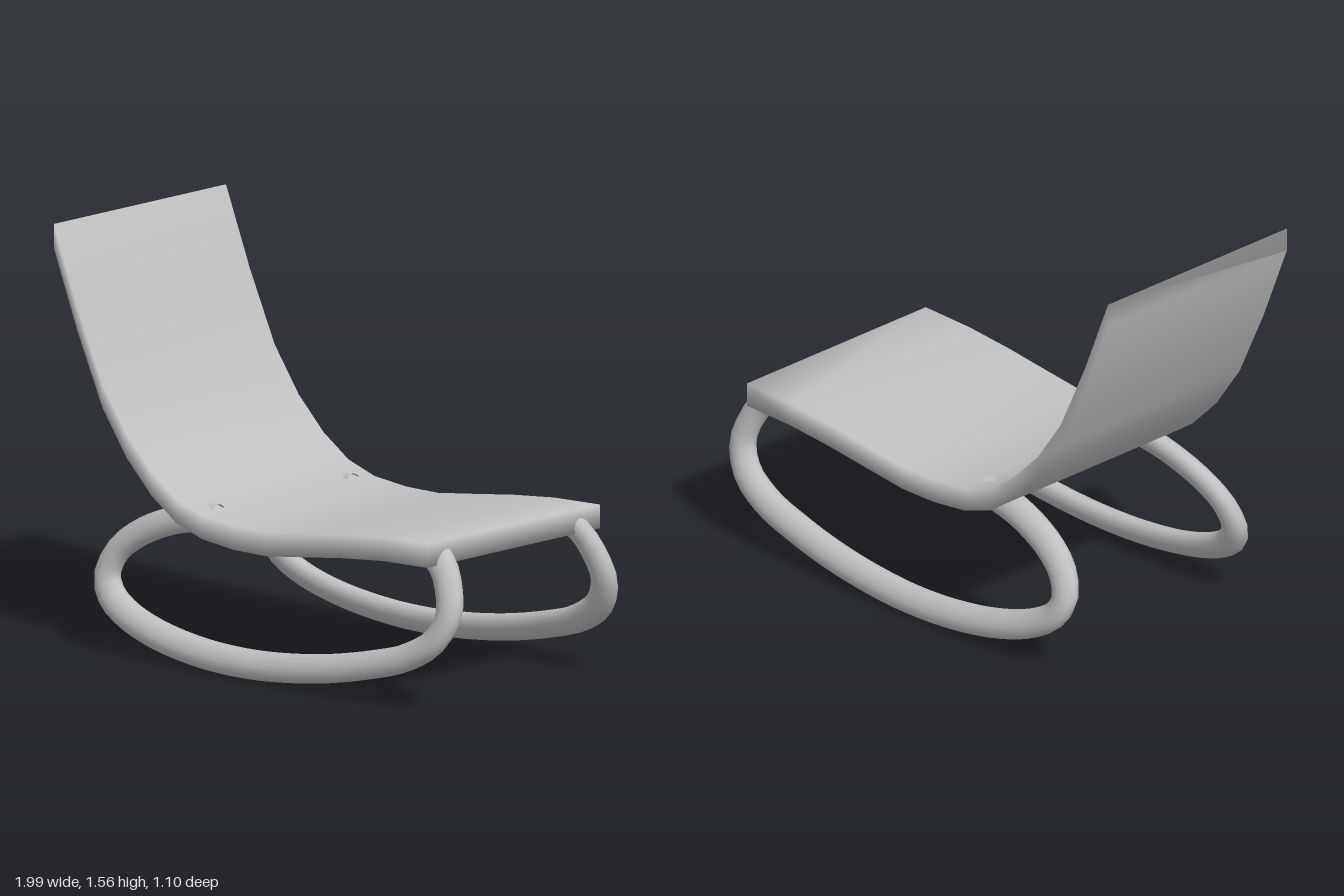
import * as THREE from 'three';

const frameGrey = new THREE.MeshStandardMaterial({ color: 0xc0c0c0, side: THREE.DoubleSide });
frameGrey.name = 'soft grey';

// Sling seat: a slab of constant upright thickness following a side profile
function createSeat() {
  const halfWidth = 0.47, thickness = 0.09;
  const profile = [
    [-1, 1.57], [-0.88, 1.27], [-0.755, 1.0], [-0.635, 0.83], [-0.51, 0.705],
    [-0.385, 0.62], [-0.255, 0.577], [-0.095, 0.56], [0.065, 0.56],
    [0.25, 0.583], [0.44, 0.608], [0.65, 0.628], [0.877, 0.635],
  ];
  const positions = [], index = [];
  for (const [x, y] of profile) {
    positions.push(x, y, -halfWidth, x, y, halfWidth);
    positions.push(x, y - thickness, halfWidth, x, y - thickness, -halfWidth);
  }
  for (let i = 0; i < profile.length - 1; i++) {
    for (let k = 0; k < 4; k++) {
      const a = i * 4 + k, b = i * 4 + (k + 1) % 4;
      index.push(a, b, b + 4, a, b + 4, a + 4);
    }
  }
  // Close the top of the back and the front edge
  const e = (profile.length - 1) * 4;
  index.push(0, 3, 2, 0, 2, 1, e, e + 1, e + 2, e, e + 2, e + 3);

  const geometry = new THREE.BufferGeometry();
  geometry.setAttribute('position', new THREE.Float32BufferAttribute(positions, 3));
  geometry.setIndex(index);
  geometry.computeVertexNormals(); // shared corners give soft edges
  const seat = new THREE.Mesh(geometry, frameGrey);
  seat.name = 'seat';
  return seat;
}

// Bent tube runner, splayed outwards towards the floor
function createRunner(side) {
  const path = new THREE.CatmullRomCurve3([
    [0.82, 0.575], [0.87, 0.54], [0.915, 0.47], [0.942, 0.37], [0.895, 0.268],
    [0.77, 0.19], [0.6, 0.14], [0.4, 0.098], [0.2, 0.072], [0, 0.06],
    [-0.22, 0.067], [-0.45, 0.1], [-0.62, 0.152], [-0.715, 0.21],
    [-0.752, 0.28], [-0.72, 0.37], [-0.63, 0.445], [-0.49, 0.508],
    [-0.37, 0.538], [-0.265, 0.548],
  ].map(([x, y]) => new THREE.Vector3(x, y, 0)), false, 'centripetal');

  const geometry = new THREE.TubeGeometry(path, 60, 0.053, 14, false);
  geometry.applyMatrix4(new THREE.Matrix4().set(
    1, 0, 0, 0,
    0, 1, 0, 0,
    0, -0.26 * side, 0.86, 0.52 * side,
    0, 0, 0, 1,
  ));
  const runner = new THREE.Mesh(geometry, frameGrey);
  runner.name = side > 0 ? 'leftRunner' : 'rightRunner';
  return runner;
}

export function createModel() {
  const chair = new THREE.Group();
  chair.name = 'loungeChair';
  chair.add(createSeat(), createRunner(1), createRunner(-1));
  return chair;
}
